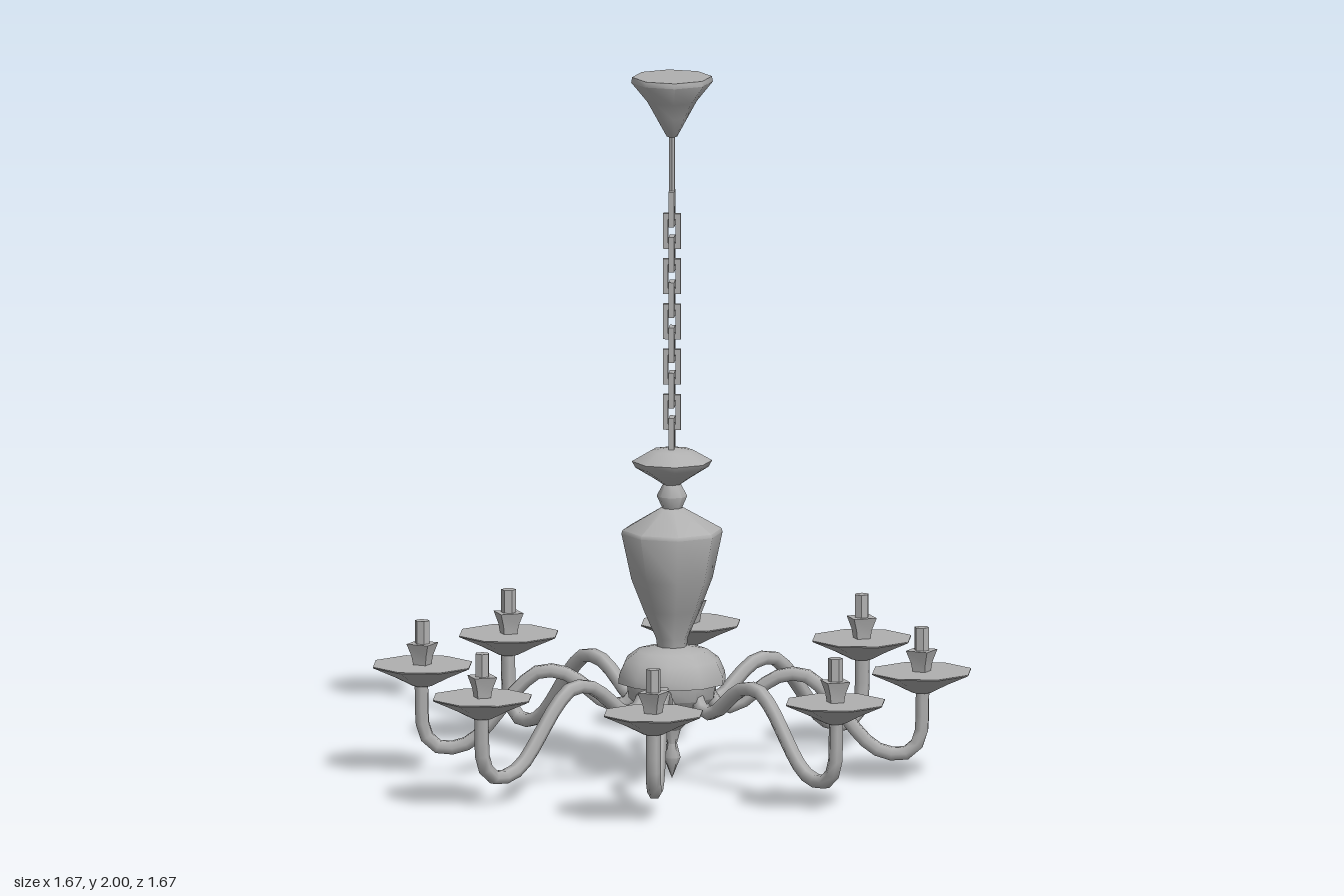
import * as THREE from 'three';
import { toCreasedNormals } from 'three/addons/utils/BufferGeometryUtils.js';

const metal = new THREE.MeshStandardMaterial({ color: 0xb0b0b0 });
metal.name = 'grey metal';

function part(name, geometry, parent) {
  const mesh = new THREE.Mesh(geometry, metal);
  mesh.name = name;
  parent.add(mesh);
  return mesh;
}

// Turned part from [radius, height] pairs, listed bottom to top
function turned(name, profile, sides, parent, turn = 0, crease = 0.85) {
  const points = profile.map(([r, y]) => new THREE.Vector2(r, y));
  const geometry = new THREE.LatheGeometry(points, sides, turn);
  return part(name, toCreasedNormals(geometry, crease), parent);
}

function linkGeometry() {
  const rectangle = (target, w, h) => target
    .moveTo(-w, -h).lineTo(w, -h).lineTo(w, h).lineTo(-w, h).closePath();
  const shape = rectangle(new THREE.Shape(), 0.025, 0.05);
  shape.holes.push(rectangle(new THREE.Path(), 0.011, 0.034));
  const geometry = new THREE.ExtrudeGeometry(shape, { depth: 0.016, bevelEnabled: false });
  return geometry.translate(0, 0, -0.008);
}

// Curved arm with drip pan, cup and candle, reaching along +x
function createArm(index) {
  const arm = new THREE.Group();
  arm.name = 'arm' + (index + 1);
  const path = new THREE.CatmullRomCurve3([
    [0.1, 0.25], [0.13, 0.212], [0.18, 0.21], [0.22, 0.24], [0.3, 0.295], [0.37, 0.3],
    [0.42, 0.265], [0.55, 0.11], [0.6, 0.082], [0.66, 0.082], [0.695, 0.12], [0.705, 0.27],
  ].map(([x, y]) => new THREE.Vector3(x, y, 0)), false, 'centripetal');
  part('armTube', new THREE.TubeGeometry(path, 22, 0.021, 6), arm);

  const pan = turned('dripPan',
    [[0, 0.253], [0.028, 0.255], [0.08, 0.282], [0.146, 0.312], [0.146, 0.315], [0, 0.315]],
    8, arm, Math.PI / 8);
  const cup = turned('candleCup',
    [[0.027, 0.314], [0.032, 0.34], [0.047, 0.375], [0, 0.375]], 4, arm, 0.4);
  const candle = turned('candle', [[0.021, 0.37], [0.021, 0.44], [0, 0.44]], 6, arm, 0.3);
  for (const mesh of [pan, cup, candle]) mesh.position.x = 0.702;
  return arm;
}

export function createModel() {
  const model = new THREE.Group();
  model.name = 'chandelier';

  // Ceiling mount and rod
  turned('ceilingCanopy',
    [[0, 1.825], [0.015, 1.83], [0.045, 1.885], [0.07, 1.93], [0.115, 1.985], [0.112, 2], [0, 2]],
    8, model, 0.15);
  turned('rod', [[0.009, 1.63], [0.009, 1.84]], 6, model);

  // Chain, each link turned a quarter from the last
  const chain = new THREE.Group();
  chain.name = 'chain';
  model.add(chain);
  const link = linkGeometry();
  for (let i = 0; i < 11; i++) {
    const mesh = part('chainLink', link, chain);
    mesh.position.y = 1.625 - i * 0.0645;
    mesh.rotation.y = i % 2 ? 0 : Math.PI / 2;
  }

  // Central column
  turned('topKnob',
    [[0.02, 0.835], [0.05, 0.855], [0.103, 0.887], [0.113, 0.905], [0.06, 0.935], [0, 0.945]],
    8, model, 0.15);
  turned('neckBead', [[0.025, 0.765], [0.043, 0.805], [0.022, 0.845]], 8, model);
  turned('vase',
    [[0.04, 0.36], [0.045, 0.4], [0.08, 0.48], [0.115, 0.57], [0.143, 0.7], [0.14, 0.71],
      [0.035, 0.77], [0, 0.775]],
    8, model, 0.2);
  turned('bowl',
    [[0.02, 0.135], [0.06, 0.175], [0.125, 0.235], [0.13, 0.272], [0.155, 0.276], [0.153, 0.3],
      [0.135, 0.34], [0.1, 0.366], [0, 0.385]],
    10, model);
  turned('finial', [[0, 0], [0.012, 0.03], [0.024, 0.06], [0.014, 0.1], [0.026, 0.145]], 8, model);

  // Eight arms around the bowl
  for (let i = 0; i < 8; i++) {
    const arm = createArm(i);
    arm.rotation.y = (i * Math.PI) / 4;
    model.add(arm);
  }
  return model;
}
